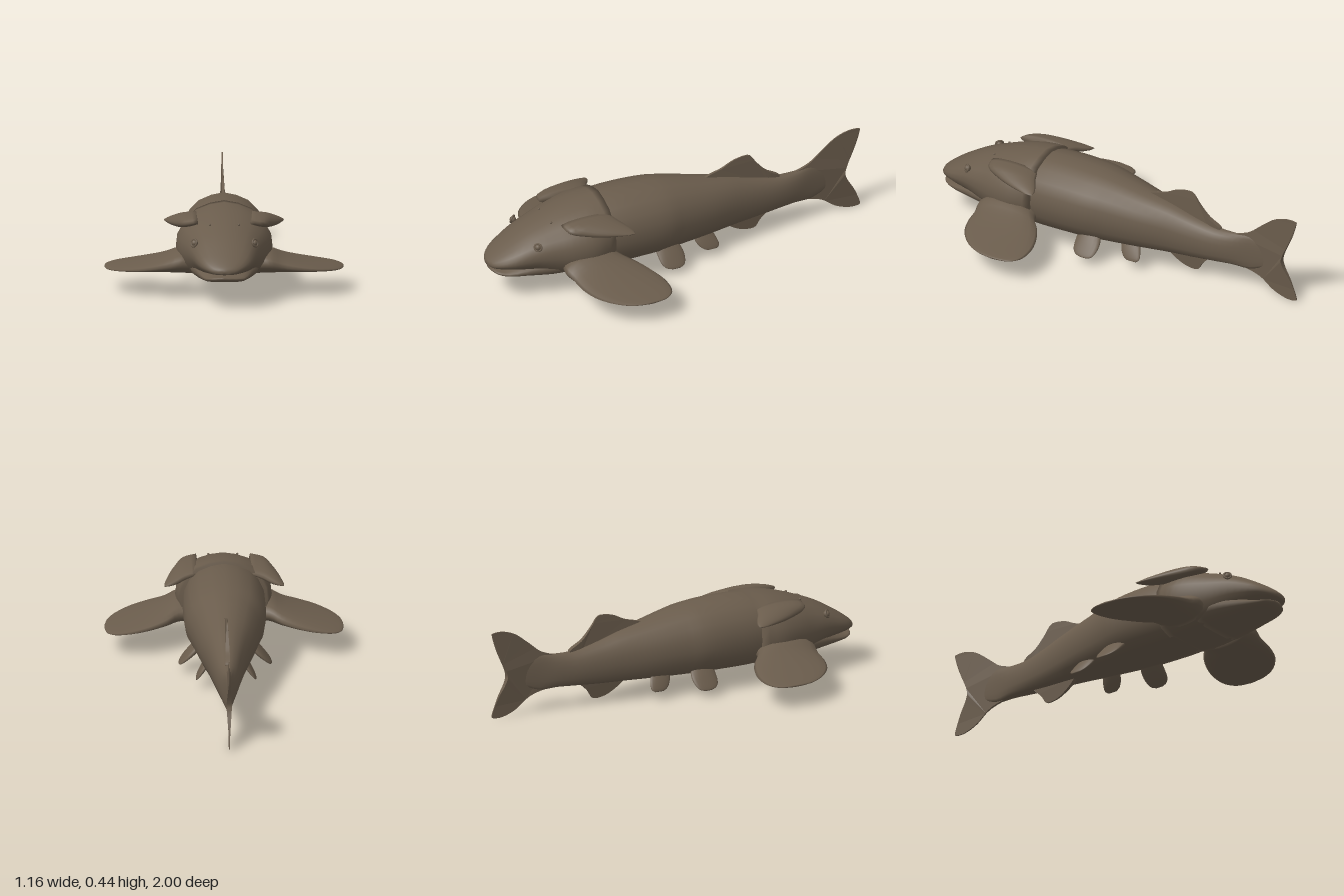
import * as THREE from 'three';

const skin = new THREE.MeshStandardMaterial({ color: 0x6a5c4c });
skin.name = 'brown skin';

// Closed, capped skin through a list of equal rings, smoothed lengthwise
function loft(rings, steps = 3) {
  const n = rings[0].length, rows = (rings.length - 1) * steps;
  const lines = rings[0].map((_, i) => new THREE.CatmullRomCurve3(rings.map(r => r[i]), false, 'centripetal'));
  const pos = [], idx = [];
  for (let j = 0; j <= rows; j++) for (const line of lines) pos.push(...line.getPoint(j / rows).toArray());
  for (let j = 0; j < rows; j++) for (let i = 0; i < n; i++) {
    const a = j * n + i, b = j * n + (i + 1) % n;
    idx.push(a, b, a + n, b, b + n, a + n);
  }
  for (const [ring, base, flip] of [[rings[0], 0, true], [rings[rings.length - 1], rows * n, false]]) {
    const c = ring.reduce((s, p) => s.add(p), new THREE.Vector3()).divideScalar(n), k = pos.length / 3;
    pos.push(...c.toArray());
    for (let i = 0; i < n; i++) {
      const a = base + i, b = base + (i + 1) % n;
      idx.push(k, flip ? b : a, flip ? a : b);
    }
  }
  // Turn the faces outward whichever way the rings run
  let volume = 0;
  const P = i => new THREE.Vector3().fromArray(pos, i * 3);
  for (let i = 0; i < idx.length; i += 3) volume += P(idx[i]).dot(P(idx[i + 1]).cross(P(idx[i + 2])));
  if (volume < 0) idx.reverse();
  const g = new THREE.BufferGeometry();
  g.setAttribute('position', new THREE.Float32BufferAttribute(pos, 3));
  g.setIndex(idx);
  g.computeVertexNormals();
  return g;
}

// Half cross-section of the body: [width fraction, height fraction]
const half = [[0, 1], [0.32, 0.965], [0.62, 0.89], [0.84, 0.76], [0.97, 0.6], [1, 0.42],
  [0.95, 0.24], [0.8, 0.08], [0.5, 0.01], [0, 0]];
const outline = [...half, ...half.slice(1, -1).reverse().map(([x, y]) => [-x, y])];

// Sections are [z, half width, bottom, top]
const bodyLoft = sections => loft(sections.map(([z, w, lo, hi]) =>
  outline.map(([u, v]) => new THREE.Vector3(u * w, lo + (hi - lo) * v, z))));

// Paired blade; sections are [x, y, z, half chord, half thickness]
function blade(sections, side, nx, ny) {
  return loft(sections.map(([x, y, z, a, t]) => Array.from({ length: 18 }, (_, i) => {
    const q = i / 18 * Math.PI * 2, s = Math.sin(q) * t;
    return new THREE.Vector3(side * (x + nx * s), y + ny * s, z + Math.cos(q) * a);
  })));
}

// Upright midline fin from (z, y) points, thinning away from its root height
function medianFin(start, curve, rootY, reach, thick) {
  const shape = new THREE.Shape();
  shape.moveTo(...start);
  shape.splineThru(curve.map(p => new THREE.Vector2(...p)));
  const g = new THREE.ExtrudeGeometry(shape, { depth: 2, bevelEnabled: false, curveSegments: 40 });
  g.translate(0, 0, -1).rotateY(-Math.PI / 2);
  const p = g.attributes.position;
  for (let i = 0; i < p.count; i++) {
    const k = Math.min(1, Math.abs(p.getY(i) - rootY) / reach);
    p.setX(i, p.getX(i) * THREE.MathUtils.lerp(thick, 0.003, k));
  }
  g.computeVertexNormals();
  return g;
}

export function createModel() {
  const model = new THREE.Group();
  model.name = 'armouredFish';
  const add = (name, geometry) => {
    const m = new THREE.Mesh(geometry, skin);
    m.name = name;
    model.add(m);
    return m;
  };

  // Head shield, lower jaw and trunk
  add('headShield', bodyLoft([
    [1, 0.02, 0.175, 0.195], [0.985, 0.06, 0.17, 0.21], [0.95, 0.098, 0.168, 0.237],
    [0.9, 0.127, 0.163, 0.27], [0.8, 0.16, 0.15, 0.328], [0.7, 0.19, 0.12, 0.37],
    [0.6, 0.222, 0.1, 0.403], [0.5, 0.235, 0.092, 0.426], [0.4, 0.212, 0.09, 0.439]]));
  add('lowerJaw', bodyLoft([
    [0.985, 0.025, 0.145, 0.157], [0.965, 0.07, 0.135, 0.158], [0.92, 0.1, 0.125, 0.16],
    [0.8, 0.14, 0.113, 0.2], [0.7, 0.165, 0.105, 0.22], [0.6, 0.17, 0.1, 0.22]]));
  add('trunk', bodyLoft([
    [0.5, 0.19, 0.095, 0.415], [0.38, 0.2, 0.088, 0.43], [0.25, 0.202, 0.088, 0.433],
    [0.1, 0.195, 0.09, 0.424], [0, 0.172, 0.09, 0.408], [-0.15, 0.14, 0.093, 0.375],
    [-0.3, 0.103, 0.097, 0.342], [-0.42, 0.078, 0.1, 0.308], [-0.55, 0.055, 0.107, 0.28],
    [-0.65, 0.036, 0.112, 0.28], [-0.74, 0.018, 0.11, 0.29], [-0.84, 0.004, 0.15, 0.26]]));

  // Midline fins
  add('tailFin', medianFin([-0.66, 0.277], [[-0.73, 0.305], [-0.8, 0.36], [-0.87, 0.412],
    [-0.94, 0.436], [-0.995, 0.435], [-1, 0.42], [-0.975, 0.34], [-0.925, 0.23], [-0.925, 0.18],
    [-0.97, 0.1], [-1, 0.025], [-0.995, 0.004], [-0.94, 0.004], [-0.87, 0.03], [-0.8, 0.08],
    [-0.74, 0.102], [-0.66, 0.115]], 0.2, 0.13, 0.014));
  add('dorsalFin', medianFin([-0.15, 0.36], [[-0.2, 0.378], [-0.26, 0.395], [-0.32, 0.424],
    [-0.38, 0.436], [-0.415, 0.428], [-0.45, 0.38], [-0.5, 0.325], [-0.57, 0.278], [-0.5, 0.25]], 0.3, 0.13, 0.012));
  add('analFin', medianFin([-0.24, 0.12], [[-0.29, 0.07], [-0.35, 0.032], [-0.4, 0.018],
    [-0.44, 0.022], [-0.465, 0.06], [-0.5, 0.095], [-0.53, 0.13]], 0.12, 0.11, 0.014));

  // Paired parts
  for (const [side, word] of [[1, 'left'], [-1, 'right']]) {
    add(word + 'PectoralFin', blade([
      [0.15, 0.165, 0.52, 0.14, 0.06], [0.22, 0.167, 0.52, 0.16, 0.058], [0.28, 0.153, 0.487, 0.178, 0.044],
      [0.36, 0.14, 0.46, 0.195, 0.03], [0.45, 0.128, 0.43, 0.19, 0.019], [0.53, 0.118, 0.397, 0.148, 0.011],
      [0.568, 0.113, 0.38, 0.09, 0.007], [0.58, 0.112, 0.375, 0.03, 0.004]], side, 0, 1));
    add(word + 'ShieldHorn', blade([
      [0.13, 0.375, 0.53, 0.13, 0.025], [0.19, 0.363, 0.51, 0.135, 0.03], [0.23, 0.35, 0.46, 0.11, 0.026],
      [0.265, 0.341, 0.405, 0.07, 0.015], [0.29, 0.335, 0.355, 0.02, 0.003]], side, 0.25, 0.97));
    add(word + 'PelvicFin', blade([
      [0.12, 0.14, 0.1, 0.06, 0.022], [0.165, 0.096, 0.09, 0.068, 0.018], [0.2, 0.062, 0.088, 0.062, 0.011],
      [0.218, 0.045, 0.085, 0.045, 0.006], [0.225, 0.038, 0.083, 0.02, 0.003]], side, 0.69, 0.72));
    add(word + 'RearPelvicFin', blade([
      [0.085, 0.13, -0.11, 0.05, 0.016], [0.115, 0.088, -0.125, 0.055, 0.013],
      [0.137, 0.058, -0.14, 0.045, 0.007], [0.145, 0.046, -0.145, 0.025, 0.003]], side, 0.8, 0.6));

    // Eye with raised rim, nostril and brow pore
    const eye = add(word + 'Eye', new THREE.SphereGeometry(0.016, 16, 12));
    eye.position.set(side * 0.145, 0.295, 0.79);
    const rim = add(word + 'EyeRim', new THREE.TorusGeometry(0.018, 0.005, 8, 20));
    rim.position.set(side * 0.149, 0.296, 0.792);
    rim.lookAt(side * 0.65, 0.5, 1.25);
    const nostril = add(word + 'Nostril', new THREE.TorusGeometry(0.007, 0.003, 6, 12));
    nostril.position.set(side * 0.08, 0.234, 0.925);
    nostril.lookAt(side * 0.3, 0.6, 1.4);
    const pore = add(word + 'BrowPore', new THREE.SphereGeometry(0.006, 8, 6));
    pore.position.set(side * 0.07, 0.367, 0.685);
  }
  return model;
}
